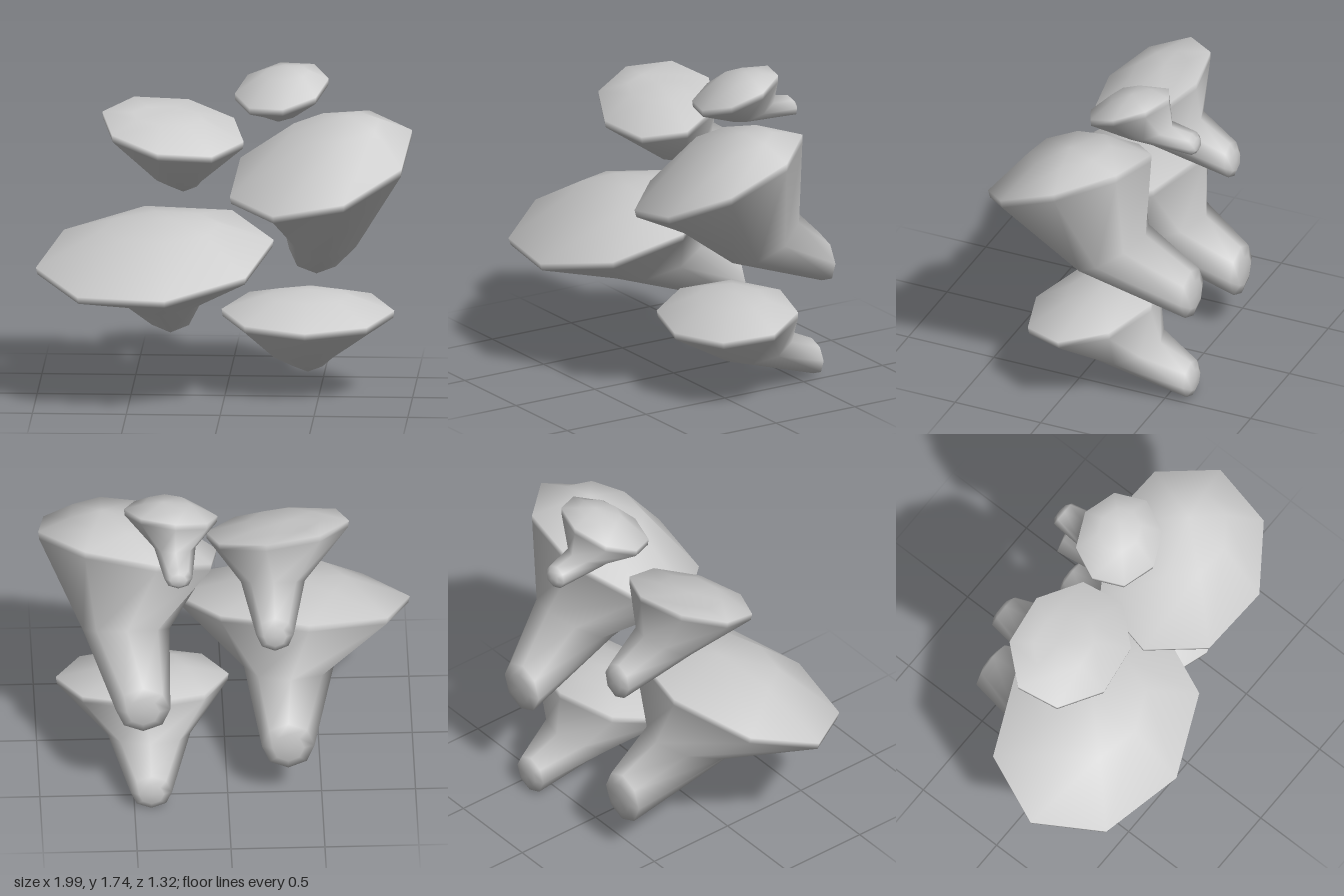
import * as THREE from 'three';

const SIDES = 8;

// cap: rim centre, half: rim half width and depth, slope: rise of the rim along x and z
// turn: rotation of the corners, top: height of the crown
// neck and foot: stem sections [x, halfWidth, yTop, zTop, yBottom, zBottom]
const MUSHROOMS = [
  { name: 'largeRightMushroom', cap: [-0.365, 0.79, 0.17], half: [0.635, 0.49], slope: [0.08, -0.33], turn: 0.12,
    top: 0.985, neck: [-0.34, 0.24, 0.63, -0.36, 0.46, 0.14], foot: [-0.32, 0.14, 0.5, -0.57, 0.215, -0.575] },
  { name: 'largeLeftMushroom', cap: [0.515, 1.265, 0.05], half: [0.5, 0.43], slope: [0.23, -0.41], turn: 0.29,
    top: 1.53, neck: [0.53, 0.23, 1.01, -0.4, 0.76, -0.03], foot: [0.455, 0.145, 0.8, -0.63, 0.53, -0.645] },
  { name: 'middleMushroom', cap: [-0.28, 1.43, -0.075], half: [0.385, 0.29], slope: [-0.13, -0.34], turn: -0.18,
    top: 1.515, neck: [-0.25, 0.17, 1.29, -0.37, 1.11, -0.1], foot: [-0.25, 0.1, 1.18, -0.54, 0.985, -0.565] },
  { name: 'smallTopMushroom', cap: [0.293, 1.63, -0.2], half: [0.25, 0.22], slope: [0.14, -0.38], turn: 0.07,
    top: 1.74, neck: [0.275, 0.11, 1.555, -0.44, 1.45, -0.2], foot: [0.265, 0.075, 1.535, -0.55, 1.42, -0.575] },
  { name: 'bottomMushroom', cap: [0.44, 0.445, -0.055], half: [0.46, 0.335], slope: [0, -0.18], turn: 0,
    top: 0.56, neck: [0.41, 0.22, 0.28, -0.435, 0.165, -0.08], foot: [0.41, 0.11, 0.2, -0.61, 0, -0.62] },
];

// One point per side, running from the front round by +x
const ring = (pointAt) =>
  Array.from({ length: SIDES }, (_, i) => pointAt((i / SIDES) * Math.PI * 2));

// Elliptical stem section; its first point is the lowest
function section([x, halfWidth, yTop, zTop, yBottom, zBottom]) {
  return ring((a) => {
    const t = (1 - Math.cos(a)) / 2;
    return new THREE.Vector3(
      x + halfWidth * Math.sin(a),
      THREE.MathUtils.lerp(yBottom, yTop, t),
      THREE.MathUtils.lerp(zBottom, zTop, t),
    );
  });
}

// Closed smooth skin from one end point, through the rings, to the other end point
function loft(start, rings, end) {
  const points = [start, ...rings.flat(), end];
  const last = points.length - 1;
  const at = (r, i) => 1 + r * SIDES + (i % SIDES);
  const index = [];
  for (let i = 0; i < SIDES; i++) {
    index.push(0, at(0, i), at(0, i + 1));
    for (let r = 0; r < rings.length - 1; r++) {
      const a = at(r, i), b = at(r, i + 1), c = at(r + 1, i), d = at(r + 1, i + 1);
      index.push(a, c, b, b, c, d);
    }
    index.push(last, at(rings.length - 1, i + 1), at(rings.length - 1, i));
  }
  const geometry = new THREE.BufferGeometry().setFromPoints(points);
  geometry.setIndex(index);
  geometry.computeVertexNormals();
  return geometry;
}

function createMushroom({ name, cap, half, slope, turn, top, neck, foot }, material) {
  // The crown leans towards the higher side of the rim
  const crown = new THREE.Vector3(
    cap[0] + 1.2 * slope[0] * half[0], top, cap[2] - 0.15 * half[1],
  );

  // Tilted oval rim
  const rim = ring((a) => {
    const dx = half[0] * Math.sin(a + turn);
    const dz = half[1] * Math.cos(a + turn);
    return new THREE.Vector3(cap[0] + dx, cap[1] + slope[0] * dx + slope[1] * dz, cap[2] + dz);
  });
  // Domed cap, fuller where the rim is low
  const dome = rim.map((p) => {
    const q = p.clone().lerp(crown, 0.5);
    q.y += 0.28 * (top - p.y);
    return q;
  });
  // Thin rim band
  const neckRing = section(neck);
  const upper = rim.map((p) => p.clone().setY(p.y + 0.015));
  const lower = rim.map((p, i) => p.clone().setY(p.y - 0.02).lerp(neckRing[i], 0.02));

  // Rounded stem end
  const footRing = section(foot);
  const tip = new THREE.Vector3(
    foot[0], (foot[2] + foot[4]) / 2, (foot[3] + foot[5]) / 2 - 0.025,
  );
  const heel = footRing.map((p) => {
    const q = p.clone().lerp(tip, 0.4);
    q.z -= 0.01;
    return q;
  });

  const rings = [dome, upper, lower, neckRing, footRing, heel];
  const mesh = new THREE.Mesh(loft(crown, rings, tip), material);
  mesh.name = name;
  return mesh;
}

export function createModel() {
  const group = new THREE.Group();
  group.name = 'mushroomCluster';
  const material = new THREE.MeshStandardMaterial({ color: 0xcccccc });
  for (const spec of MUSHROOMS) group.add(createMushroom(spec, material));
  return group;
}
